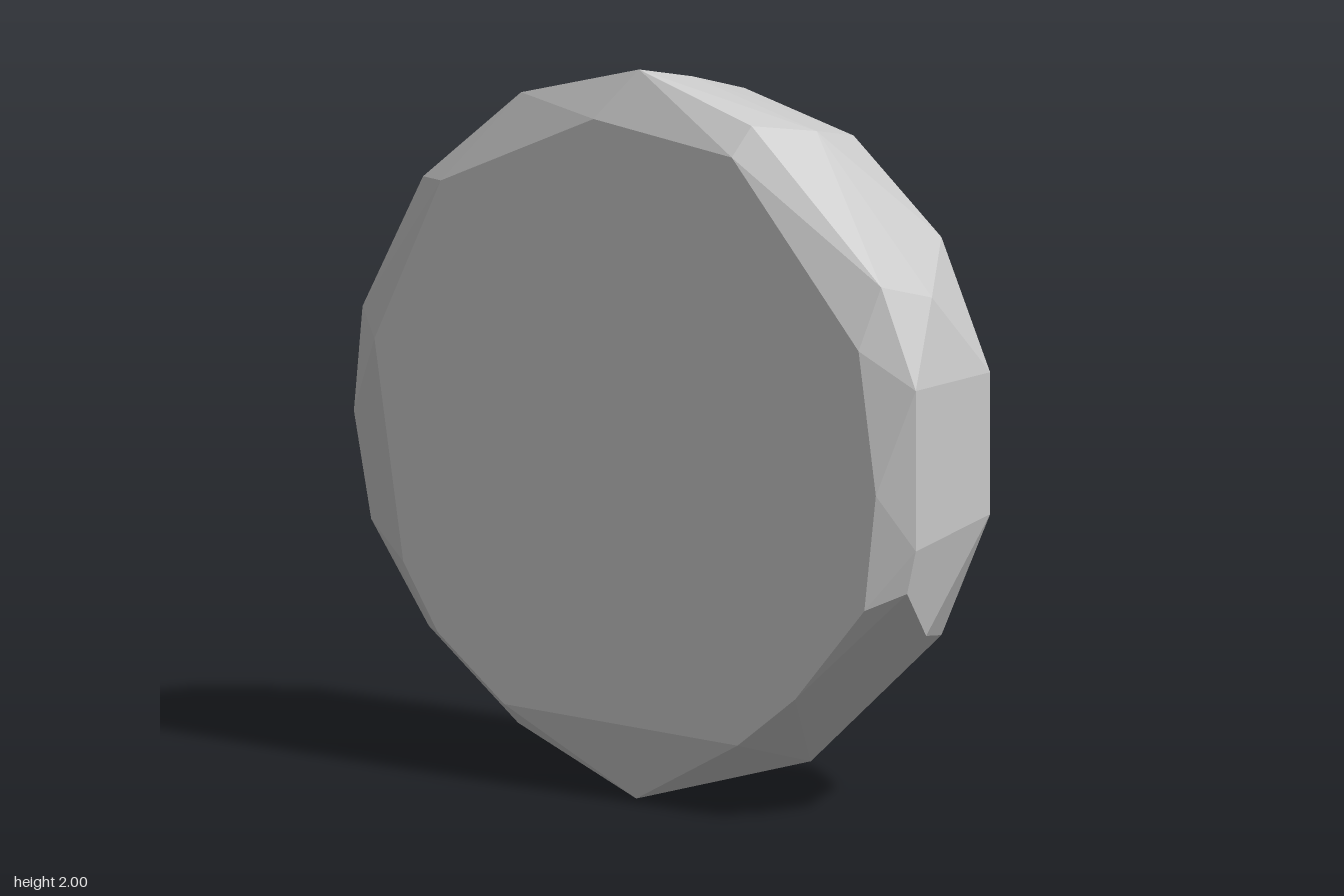
import * as THREE from 'three';
import { ConvexGeometry } from 'three/addons/geometries/ConvexGeometry.js';

// Irregular outlines [x, y] of the stone
const frontFace = [[0.38, 1.81], [0.82, 1.33], [0.88, 0.94], [0.84, 0.62], [0.6, 0.35], [0.4, 0.2],
  [-0.41, 0.22], [-0.64, 0.39], [-0.76, 0.57], [-0.86, 1.17], [-0.63, 1.63], [-0.1, 1.86]];
const rim = [[0.01, 2], [0.4, 1.89], [0.85, 1.5], [0.97, 1.23], [0.97, 0.79], [0.94, 0.67], [0, 0],
  [-0.41, 0.16], [-0.72, 0.39], [-0.92, 0.66], [-0.98, 0.95], [-0.95, 1.24], [-0.74, 1.62], [-0.4, 1.89]];
const sideWall = [[0.05, 1.96], [0.48, 1.86], [0.88, 1.45], [0.86, 0.52], [0.46, 0.13], [0.02, 0.03],
  [-0.22, 0.05], [-0.62, 0.29], [-0.96, 0.95], [-0.65, 1.7]];
const backFace = [[0.06, 1.61], [0.48, 1.46], [0.67, 1.17], [0.68, 1.09], [0.48, 0.49], [0.05, 0.4],
  [-0.45, 0.61], [-0.6, 0.86], [-0.62, 0.93], [-0.56, 1.32], [-0.45, 1.48]];

// Regular outline for the worn shoulder and bevel
function ring(radius, sides) {
  return Array.from({ length: sides }, (_, i) => {
    const a = Math.PI / 2 + (i / sides) * Math.PI * 2;
    return [0.01 + radius * Math.cos(a), 1.01 + radius * Math.sin(a)];
  });
}

function atDepth(outline, z) {
  return outline.map(([x, y]) => new THREE.Vector3(x, y, z));
}

export function createModel() {
  const group = new THREE.Group();
  group.name = 'facetedStone';

  // Convex skin stretched over the outlines, front to back
  const points = [
    ...atDepth(frontFace, 0.35),
    ...atDepth(rim, 0.29),
    ...atDepth(sideWall, 0.11),
    ...atDepth(ring(0.875, 14), -0.16),
    ...atDepth(ring(0.785, 14), -0.26),
    ...atDepth(backFace, -0.35),
  ];
  const stone = new THREE.Mesh(
    new ConvexGeometry(points),
    new THREE.MeshStandardMaterial({ color: 0xcccccc, flatShading: true })
  );
  stone.name = 'stone';
  group.add(stone);
  return group;
}
